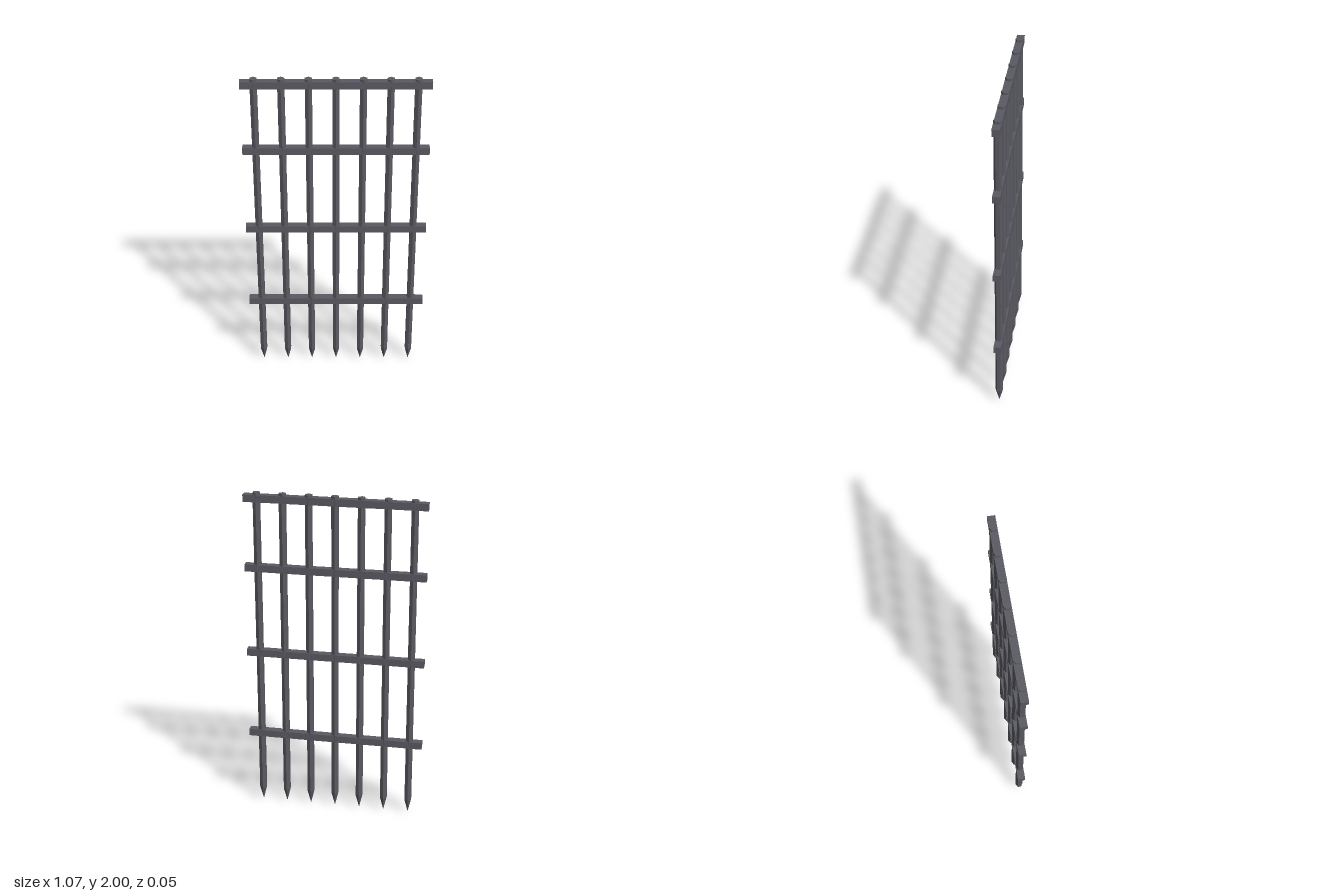
import * as THREE from 'three';

const BAR_RADIUS = 0.023;
const TIP_HEIGHT = 0.087;
const BAR_SPACING = 0.1533;
const RAIL_HEIGHTS = [0.47, 1.007, 1.544, 1.965];

export function createModel() {
  const group = new THREE.Group();
  group.name = 'portcullis';

  const iron = new THREE.MeshStandardMaterial({ color: 0x5a5a62, flatShading: true });
  iron.name = 'dark iron';

  const add = (geometry, name, x, y) => {
    const mesh = new THREE.Mesh(geometry, iron);
    mesh.name = name;
    mesh.position.set(x, y, 0);
    group.add(mesh);
  };

  // Hexagonal upright bars, each ending in a downward spike
  const shaftHeight = 2 - TIP_HEIGHT;
  const shaft = new THREE.CylinderGeometry(BAR_RADIUS, BAR_RADIUS, shaftHeight, 6);
  const tip = new THREE.ConeGeometry(BAR_RADIUS, TIP_HEIGHT, 6).rotateX(Math.PI);
  for (let i = -3; i <= 3; i++) {
    add(shaft, 'uprightBar', i * BAR_SPACING, TIP_HEIGHT + shaftHeight / 2);
    add(tip, 'spike', i * BAR_SPACING, TIP_HEIGHT / 2);
  }

  // Square cross rails
  const rail = new THREE.BoxGeometry(1.074, 0.043, 0.045);
  for (const y of RAIL_HEIGHTS) add(rail, 'crossRail', 0, y);

  return group;
}
